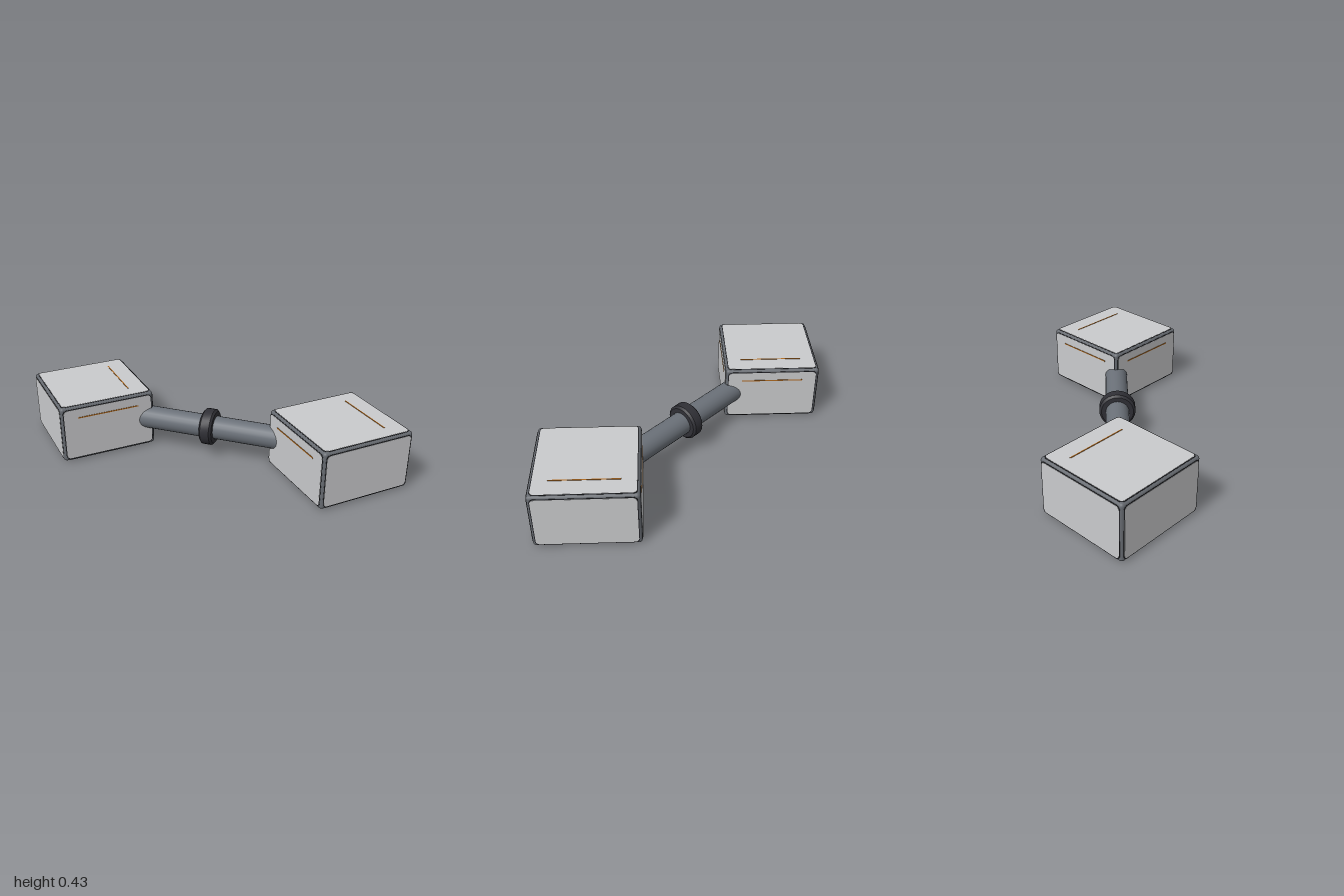
import * as THREE from 'three';
import { RoundedBoxGeometry } from 'three/addons/geometries/RoundedBoxGeometry.js';
import { toCreasedNormals } from 'three/addons/utils/BufferGeometryUtils.js';

const material = (name, color) => {
  const m = new THREE.MeshStandardMaterial({ color });
  m.name = name;
  return m;
};

const SIZE = 0.688, HEIGHT = 0.416, MID = 0.215, OFFSET = 0.653;

// Thin plate with rounded corners, its back on z = 0
function plateGeometry(w, h, r, depth) {
  const x = w / 2, y = h / 2, s = new THREE.Shape();
  s.absarc(x - r, y - r, r, 0, Math.PI / 2);
  s.absarc(-x + r, y - r, r, Math.PI / 2, Math.PI);
  s.absarc(-x + r, -y + r, r, Math.PI, Math.PI * 1.5);
  s.absarc(x - r, -y + r, r, Math.PI * 1.5, Math.PI * 2);
  return new THREE.ExtrudeGeometry(s, { depth, bevelEnabled: false, curveSegments: 5 });
}

export function createModel() {
  const frameGrey = material('frame grey', 0x666a70);
  const panelGrey = material('panel grey', 0xcacbcd);
  const seamBlack = material('seam black', 0x242529);
  const tubeGrey = material('tube grey', 0x6b7179);
  const collarBlack = material('collar black', 0x303036);
  const orange = material('accent orange', 0xb06a20);

  const model = new THREE.Group();
  const add = (parent, name, geometry, mat) => {
    const mesh = new THREE.Mesh(geometry, mat);
    mesh.name = name;
    parent.add(mesh);
    return mesh;
  };

  // One face: dark seam, light panel and an optional accent line
  function face(name, w, h, out, rotX, rotY, line) {
    const g = new THREE.Group();
    g.name = name;
    add(g, 'seam', plateGeometry(w - 0.03, h - 0.03, 0.03, 0.0015), seamBlack);
    add(g, 'panel', plateGeometry(w - 0.042, h - 0.042, 0.026, 0.003), panelGrey);
    if (line) {
      const strip = add(g, 'accentLine', new THREE.BoxGeometry(line.w, line.h, 0.005), orange);
      strip.position.set(line.x, line.y, 0.0035);
    }
    g.rotation.set(rotX, rotY, 0);
    g.position.set(0, 0, out).applyEuler(g.rotation);
    return g;
  }

  // Box module; inner = +1 when the joint faces are +x and +z, -1 for -x and -z
  function boxModule(name, inner) {
    const g = new THREE.Group();
    g.name = name;
    add(g, 'frame', new RoundedBoxGeometry(SIZE, HEIGHT, SIZE, 3, 0.022), frameGrey);
    const sideLine = { w: 0.45, h: 0.008, x: 0, y: 0.12 };
    const capLine = { w: 0.008, h: 0.45, x: 0.198, y: 0 };
    const half = SIZE / 2;
    g.add(
      face('frontFace', SIZE, HEIGHT, half, 0, 0, inner > 0 && sideLine),
      face('backFace', SIZE, HEIGHT, half, 0, Math.PI, inner < 0 && sideLine),
      face('leftFace', SIZE, HEIGHT, half, 0, Math.PI / 2, inner > 0 && sideLine),
      face('rightFace', SIZE, HEIGHT, half, 0, -Math.PI / 2, inner < 0 && sideLine),
      face('topFace', SIZE, SIZE, HEIGHT / 2, -Math.PI / 2, 0, capLine),
      face('bottomFace', SIZE, SIZE, HEIGHT / 2, Math.PI / 2, 0, capLine)
    );
    g.position.set(-inner * OFFSET, MID, -inner * OFFSET);
    model.add(g);
  }
  boxModule('rearModule', 1);
  boxModule('frontModule', -1);

  // Diagonal connector with a chamfered collar in the middle
  const connector = new THREE.Group();
  connector.name = 'connector';
  add(connector, 'tube', new THREE.CylinderGeometry(0.083, 0.083, 1.3, 24), tubeGrey);
  const profile = [[0.08, -0.046], [0.115, -0.046], [0.13, -0.032], [0.13, 0.032], [0.115, 0.046], [0.08, 0.046]]
    .map(([r, y]) => new THREE.Vector2(r, y));
  add(connector, 'collar', toCreasedNormals(new THREE.LatheGeometry(profile, 24), 0.5), collarBlack);
  connector.quaternion.setFromUnitVectors(
    new THREE.Vector3(0, 1, 0), new THREE.Vector3(1, 0, 1).normalize());
  connector.position.y = MID;
  model.add(connector);

  return model;
}
